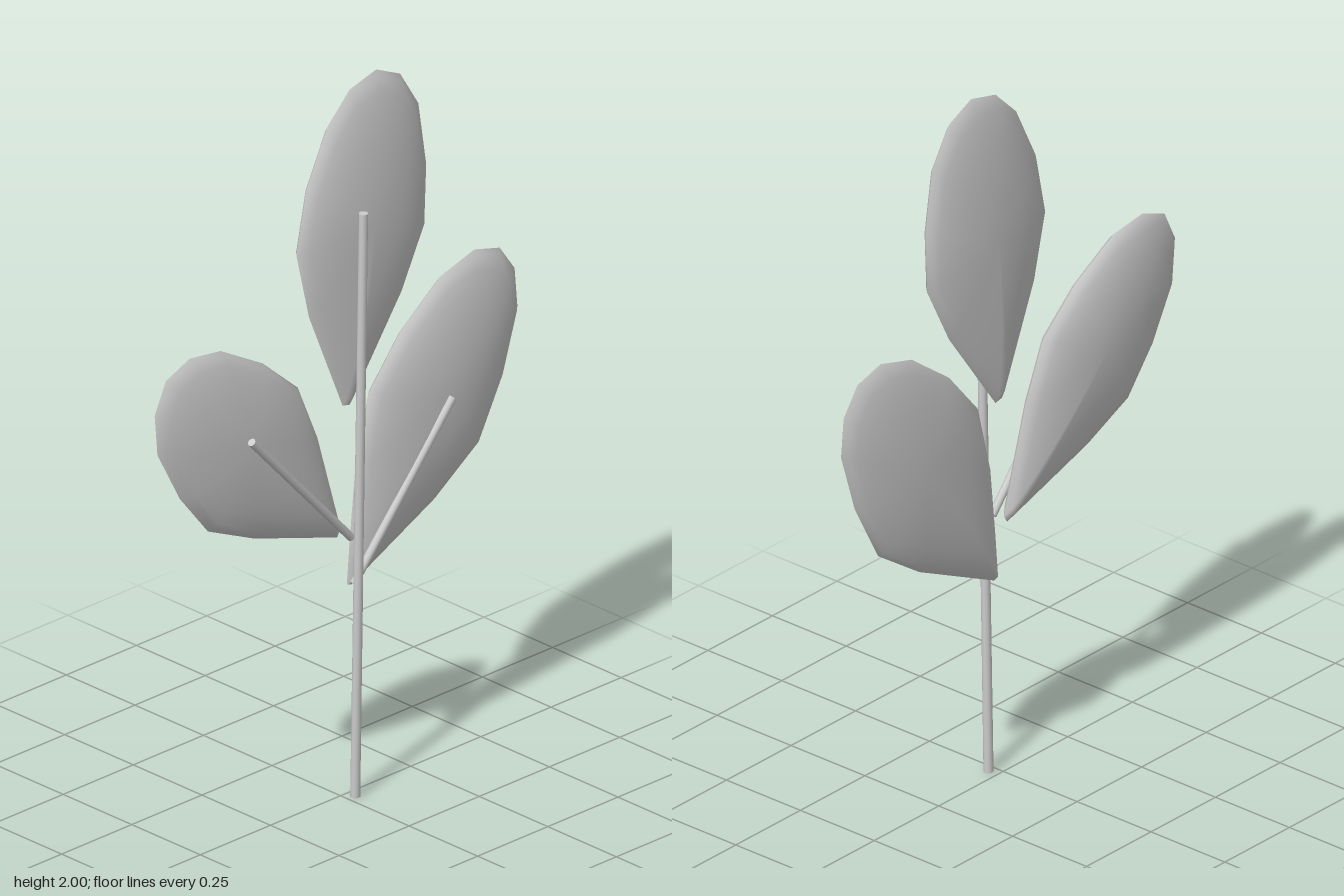
import * as THREE from 'three';

const material = new THREE.MeshStandardMaterial({ color: 0xcccccc });
const LEAF_Z = -0.013, HALF_THICKNESS = 0.05;
const RINGS = [1, 0.95, 0.87, 0.75, 0.6, 0.42, 0.22];

// One domed face of a leaf: the outline shrinks in rings toward the centre
function leafFace(outline, [cx, cy], side) {
  const n = outline.length, pos = [], index = [];
  for (const s of RINGS) {
    const z = LEAF_Z + side * HALF_THICKNESS * Math.pow(1 - s * s, 0.6);
    for (const [x, y] of outline) pos.push(cx + (x - cx) * s, cy + (y - cy) * s, z);
  }
  pos.push(cx, cy, LEAF_Z + side * HALF_THICKNESS);
  const centre = RINGS.length * n;
  const tri = (a, b, c) => (side > 0 ? index.push(a, c, b) : index.push(a, b, c));
  for (let r = 0; r < RINGS.length; r++) {
    for (let i = 0; i < n; i++) {
      const j = (i + 1) % n, a = r * n + i, b = r * n + j;
      if (r === RINGS.length - 1) tri(a, b, centre);
      else {
        tri(a, b, b + n);
        tri(a, b + n, a + n);
      }
    }
  }
  const g = new THREE.BufferGeometry();
  g.setAttribute('position', new THREE.Float32BufferAttribute(pos, 3));
  g.setIndex(index);
  g.computeVertexNormals();
  return g;
}

// Two faces meeting at a sharp rim
function leaf(name, centre, outline) {
  const group = new THREE.Group();
  group.name = name;
  for (const side of [1, -1]) {
    const mesh = new THREE.Mesh(leafFace(outline, centre, side), material);
    mesh.name = side > 0 ? 'leafFront' : 'leafBack';
    group.add(mesh);
  }
  return group;
}

// Straight round rod between two points
function rod(name, from, to, r0, r1) {
  const a = new THREE.Vector3(...from), b = new THREE.Vector3(...to);
  const dir = b.clone().sub(a);
  const mesh = new THREE.Mesh(new THREE.CylinderGeometry(r1, r0, dir.length(), 10), material);
  mesh.name = name;
  mesh.position.copy(a).add(b).multiplyScalar(0.5);
  mesh.quaternion.setFromUnitVectors(new THREE.Vector3(0, 1, 0), dir.normalize());
  return mesh;
}

export function createModel() {
  const model = new THREE.Group();
  model.name = 'leafSprig';

  // Outlines run clockwise from the base
  model.add(leaf('topLeaf', [0.09, 1.6], [
    [0.02, 1.09], [-0.1, 1.38], [-0.145, 1.57], [-0.11, 1.74], [-0.035, 1.895], [0.045, 1.975], [0.14, 2],
    [0.225, 1.96], [0.29, 1.855], [0.317, 1.68], [0.31, 1.51], [0.225, 1.34], [0.045, 1.085]]));
  model.add(leaf('rightLeaf', [-0.34, 1.11], [
    [0, 0.725], [-0.295, 0.82], [-0.46, 0.895], [-0.56, 1.02], [-0.64, 1.17], [-0.65, 1.285], [-0.61, 1.37],
    [-0.525, 1.405], [-0.415, 1.39], [-0.265, 1.305], [-0.14, 1.195], [-0.07, 1.03], [0.013, 0.745]]));
  model.add(leaf('leftLeaf', [0.36, 1.03], [
    [0.035, 0.58], [0.045, 0.7], [0.065, 0.9], [0.113, 1.095], [0.225, 1.23], [0.37, 1.34], [0.49, 1.375],
    [0.58, 1.35], [0.633, 1.275], [0.643, 1.165], [0.59, 0.995], [0.5, 0.825], [0.34, 0.715], [0.05, 0.575]]));

  // Stem and the midribs of the side leaves
  model.add(rod('stem', [0.024, 0, 0.029], [0.027, 1.655, 0.056], 0.013, 0.012));
  model.add(rod('rightMidrib', [0.012, 0.735, 0.026], [-0.363, 1.135, 0.047], 0.011, 0.011));
  model.add(rod('leftMidrib', [0.03, 0.595, 0.018], [0.36, 1.02, 0.041], 0.011, 0.011));
  return model;
}
